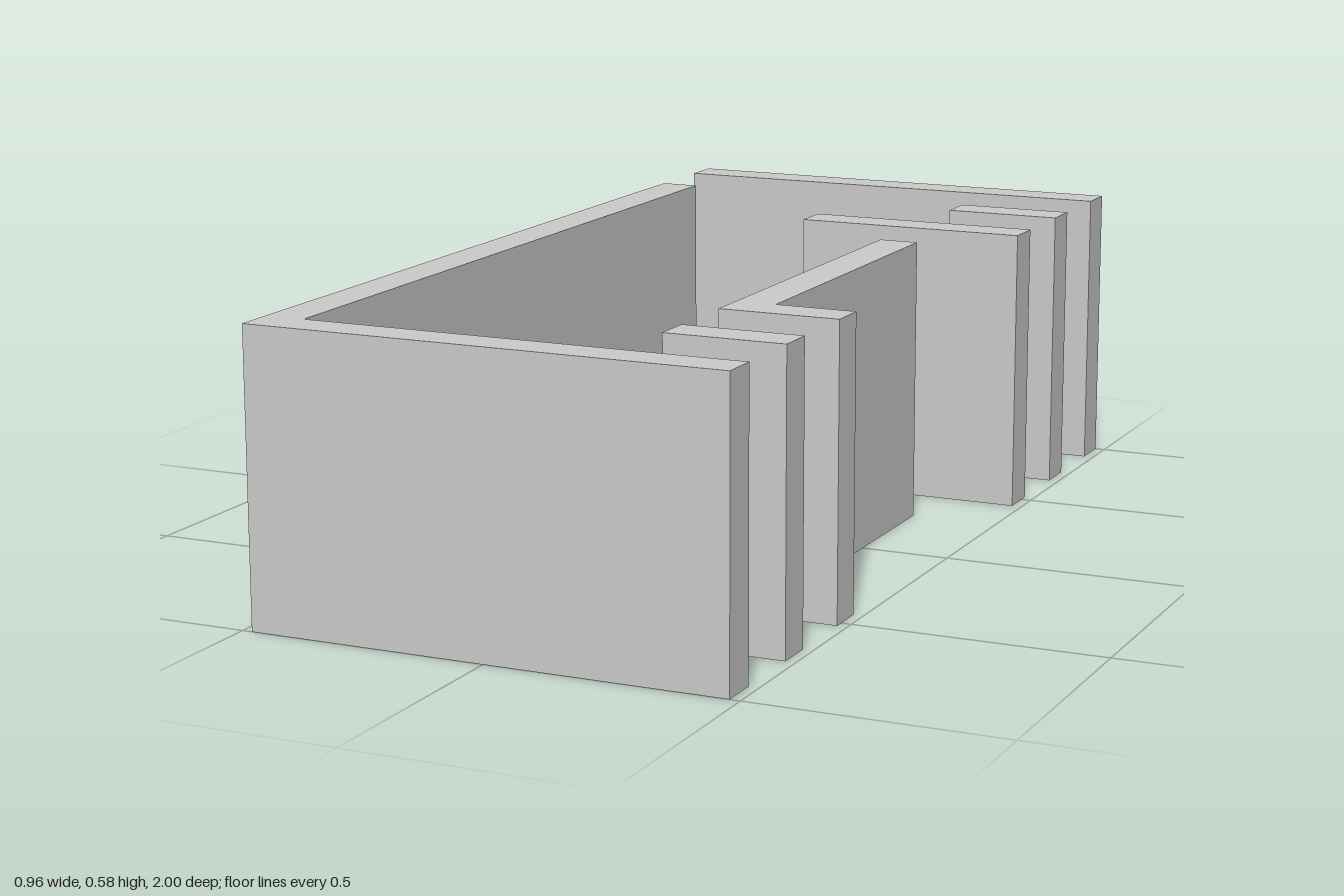
import * as THREE from 'three';

const HEIGHT = 0.576;
const material = new THREE.MeshStandardMaterial({ color: 0xcccccc, flatShading: true });

// Upright wall raised from a floor-plan outline of [x, z] corners
function wall(name, plan) {
  const shape = new THREE.Shape(plan.map(([x, z]) => new THREE.Vector2(x, -z)));
  const geometry = new THREE.ExtrudeGeometry(shape, { depth: HEIGHT, bevelEnabled: false });
  geometry.rotateX(-Math.PI / 2);
  const mesh = new THREE.Mesh(geometry, material);
  mesh.name = name;
  return mesh;
}

// Rectangular floor plan
const rect = (x0, x1, z0, z1) => [[x0, z0], [x1, z0], [x1, z1], [x0, z1]];

export function createModel() {
  const group = new THREE.Group();
  group.name = 'wallLayout';
  group.add(
    // Straight walls
    wall('backWall', rect(-0.48, 0.48, -1, -0.92)),
    wall('backStubWall', rect(0.24, 0.48, -0.76, -0.68)),
    wall('backPartition', rect(0, 0.48, -0.52, -0.44)),
    wall('frontStubWall', rect(0.24, 0.48, 0.68, 0.76)),
    // L-shaped walls
    wall('innerCornerWall', [
      [0.24, -0.28], [0.32, -0.28], [0.32, 0.44], [0.48, 0.44], [0.48, 0.52], [0.24, 0.52],
    ]),
    wall('outerCornerWall', [
      [-0.48, -0.76], [-0.4, -0.76], [-0.4, 0.92], [0.48, 0.92], [0.48, 1], [-0.48, 1],
    ]),
  );
  return group;
}
